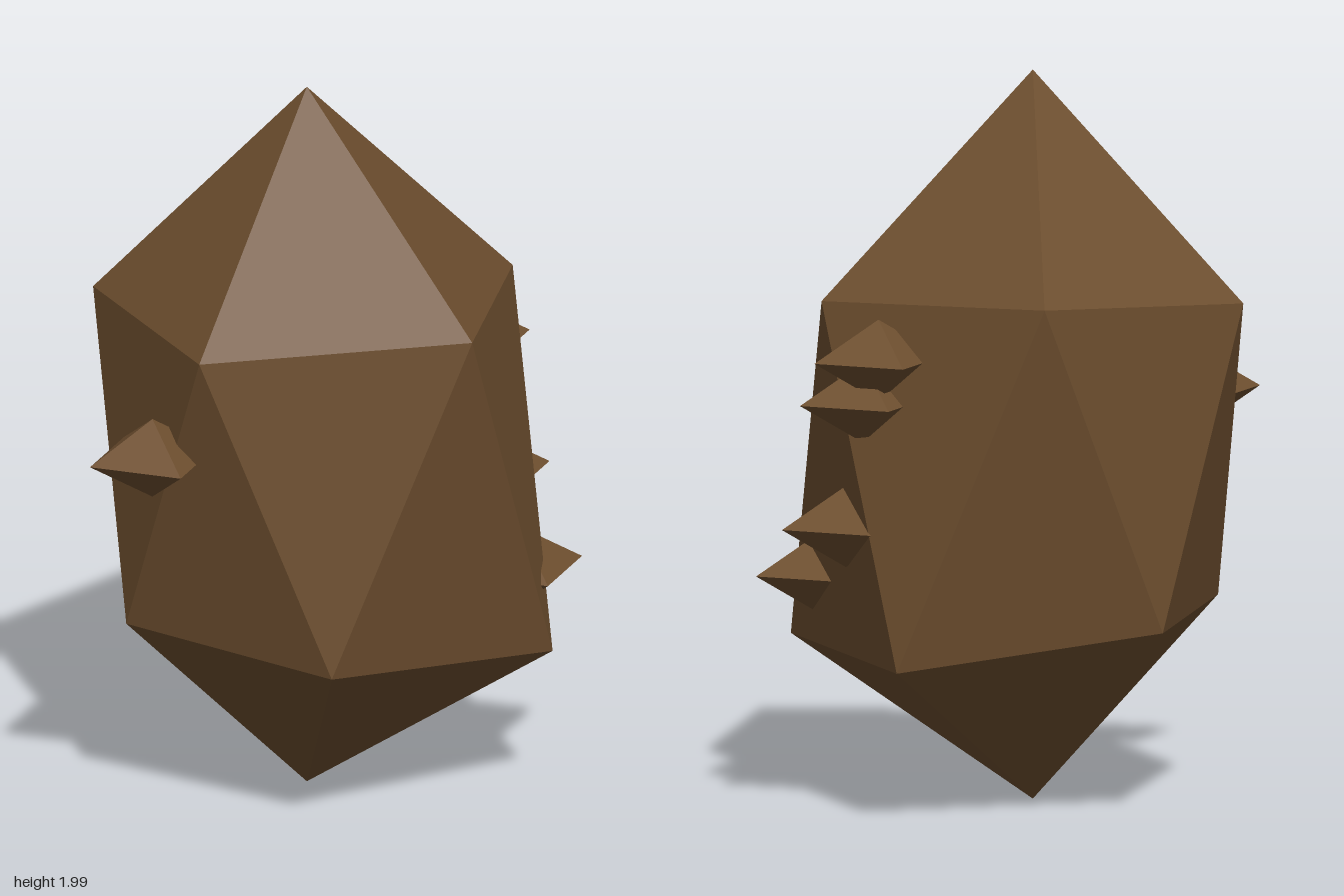
import * as THREE from 'three';

export function createModel() {
  const model = new THREE.Group();
  model.name = 'potato';
  const brown = new THREE.MeshStandardMaterial({ color: 0x6e4f2f });
  brown.name = 'earthy brown';

  // Body: a stretched, uneven icosahedron from two poles and two rings of five
  const top = [-0.015, 2, 0], bottom = [-0.015, 0.01, 0];
  const upper = [[0.595, 1.4, 0], [0.19, 1.44, 0.63], [-0.49, 1.385, 0.345], [-0.49, 1.385, -0.35], [0.19, 1.44, -0.63]];
  const lower = [[0.53, 0.435, 0.405], [-0.19, 0.505, 0.55], [-0.55, 0.54, 0], [-0.19, 0.525, -0.528], [0.53, 0.435, -0.4]];
  const corners = [];
  for (let i = 0; i < 5; i++) {
    const j = (i + 1) % 5;
    corners.push(top, upper[j], upper[i]);
    corners.push(upper[i], upper[j], lower[i]);
    corners.push(lower[i], upper[j], lower[j]);
    corners.push(bottom, lower[i], lower[j]);
  }
  const bodyGeometry = new THREE.BufferGeometry();
  bodyGeometry.setAttribute('position', new THREE.Float32BufferAttribute(corners.flat(), 3));
  bodyGeometry.computeVertexNormals();
  const body = new THREE.Mesh(bodyGeometry, brown);
  body.name = 'body';
  model.add(body);

  // Sprouts: flattened octahedra half sunk into the sides
  const sproutGeometry = new THREE.OctahedronGeometry(0.185).scale(1, 0.6, 1);
  const sprouts = [
    [-0.555, 1.075, 0.182],
    [0.515, 1.265, -0.222],
    [0.535, 1.143, -0.165],
    [0.553, 0.793, -0.075],
    [0.515, 0.623, 0.222],
  ];
  sprouts.forEach((position, i) => {
    const sprout = new THREE.Mesh(sproutGeometry, brown);
    sprout.name = `sprout${i + 1}`;
    sprout.position.set(...position);
    model.add(sprout);
  });

  return model;
}
